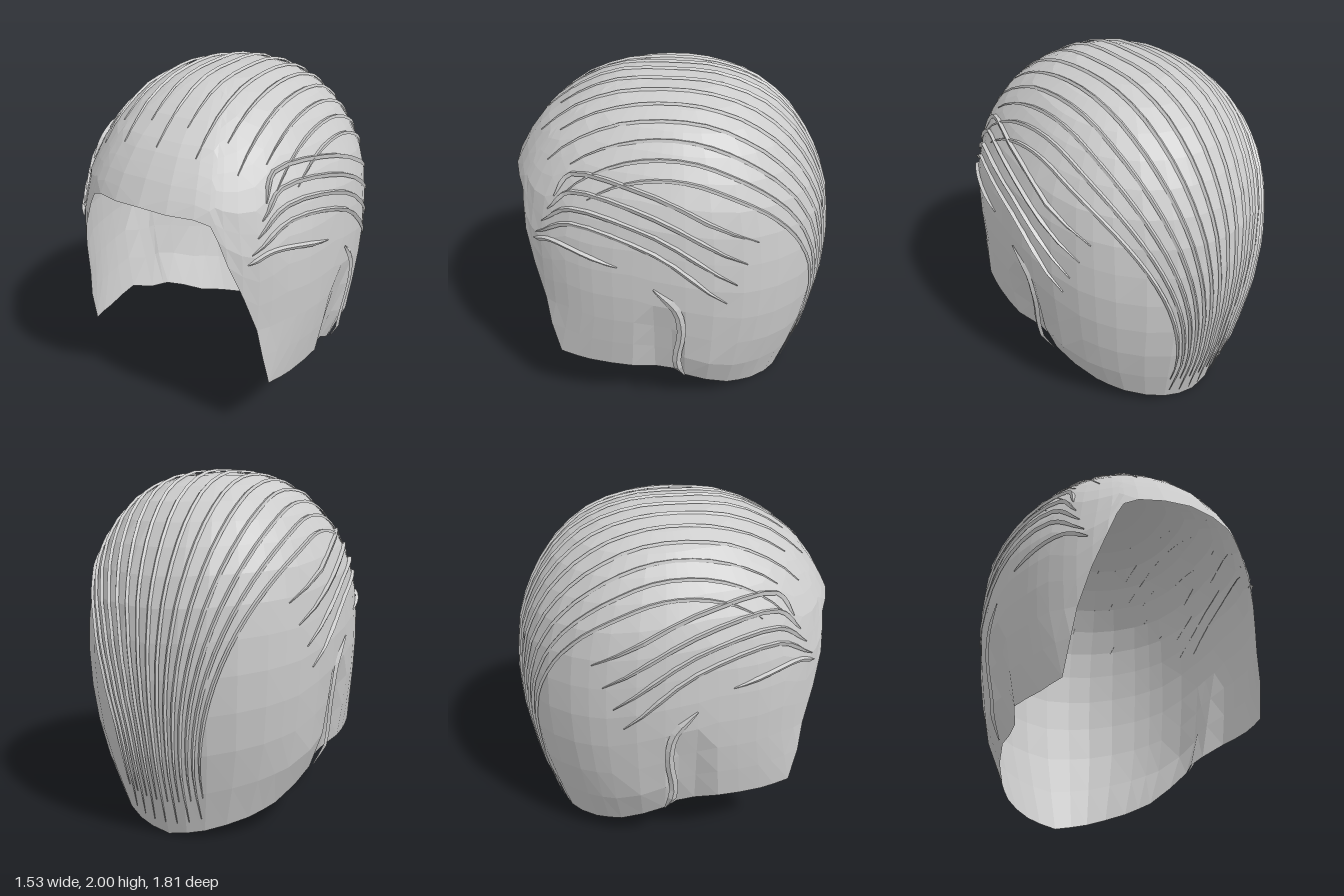
import * as THREE from 'three';
import { mergeGeometries } from 'three/addons/utils/BufferGeometryUtils.js';

const { smoothstep, degToRad } = THREE.MathUtils;

// Horizontal sections of the head of hair: y, half width, reach forward, reach back
const SECTIONS = [
  [0, 0.49, 1.1, 0.68], [0.1, 0.545, 1.1, 0.72], [0.3, 0.625, 1.09, 0.77], [0.43, 0.69, 1.08, 0.81],
  [0.8, 0.74, 0.94, 0.87], [1.05, 0.755, 0.93, 0.88], [1.3, 0.74, 0.93, 0.85], [1.46, 0.715, 0.92, 0.8],
  [1.6, 0.655, 0.84, 0.73], [1.73, 0.57, 0.74, 0.64], [1.85, 0.455, 0.59, 0.52], [1.93, 0.32, 0.44, 0.37],
  [1.97, 0.19, 0.32, 0.23], [1.985, 0.05, 0.2, 0.12],
];
// Hem height by angle from the front: brow, temple, sideburn, ear, nape
const HEM = [
  [0, 1.46], [22, 1.44], [28, 1.41], [30, 1.34], [33, 1.2], [46, 0.8], [59, 0.43], [70, 0.41], [83, 0.41],
  [88, 0.36], [97, 0.3], [118, 0.15], [133, 0.1], [157, 0.04], [180, 0],
];
const COLUMNS = [0, 11, 22, 28, 30, 33, 39, 46, 52, 59, 65, 70, 77, 83, 88, 92, 97, 107, 118, 125, 133, 145, 157, 168, 180];
const ROWS = 13;

function lookup(table, key, column) {
  if (key <= table[0][0]) return table[0][column];
  for (let i = 1; i < table.length; i++) {
    const a = table[i - 1], b = table[i];
    if (key <= b[0]) return a[column] + ((b[column] - a[column]) * (key - a[0])) / (b[0] - a[0]);
  }
  return table[table.length - 1][column];
}

// Squareness of a section: boxier around the face, round at the back
const power = (y, z) => (z >= 0 ? 2.5 - 0.3 * smoothstep(y, 1.2, 1.46) : 2.05);
const signedPow = (v, e) => Math.sign(v) * Math.abs(v) ** e;

function shellPoint(degrees, s) {
  if (s === 0) return [0, 1.985, 0.04];
  const hem = lookup(HEM, Math.abs(degrees), 1);
  const y = 1.985 - (1.985 - hem) * s ** 1.7;
  const t = degToRad(degrees), c = Math.cos(t), e = 2 / power(y, c);
  const z = signedPow(c, e) * lookup(SECTIONS, y, c >= 0 ? 2 : 3);
  let x = Math.abs(degrees) === 180 ? 0 : signedPow(Math.sin(t), e) * lookup(SECTIONS, y, 1);
  // hollow where the hair tucks behind the ear
  x *= 1 - 0.09 * Math.exp(-(((z - 0.02) / 0.09) ** 2)) * smoothstep(0.95 - y, 0, 0.35);
  return [x, y, z];
}

function makeShell() {
  const angles = [...COLUMNS.slice(1).reverse().map((a) => -a), ...COLUMNS];
  const positions = [], index = [];
  angles.forEach((a) => {
    for (let j = 0; j <= ROWS; j++) positions.push(...shellPoint(a, j / ROWS));
  });
  for (let i = 0; i < angles.length - 1; i++) {
    for (let j = 0; j < ROWS; j++) {
      const a = i * (ROWS + 1) + j, b = a + ROWS + 1;
      // diagonals are mirrored between the two halves
      if (j === 0) index.push(a, a + 1, b + 1);
      else if (angles[i] < 0) index.push(a, a + 1, b + 1, a, b + 1, b);
      else index.push(a, a + 1, b, b, a + 1, b + 1);
    }
  }
  return toGeometry(positions, index);
}

function toGeometry(positions, index) {
  const g = new THREE.BufferGeometry();
  g.setAttribute('position', new THREE.Float32BufferAttribute(positions, 3));
  g.setIndex(index);
  g.computeVertexNormals();
  return g;
}

// Point where a ray from inside the head leaves the hair surface
function castOut(origin, dir) {
  let near = 0, far = 1.6;
  for (let i = 0; i < 30; i++) {
    const r = (near + far) / 2, p = origin.clone().addScaledVector(dir, r), e = power(p.y, p.z);
    const w = lookup(SECTIONS, p.y, 1), d = lookup(SECTIONS, p.y, p.z >= 0 ? 2 : 3);
    const inside = p.y < 1.985 && Math.abs(p.x / w) ** e + Math.abs(p.z / d) ** e < 1;
    if (inside) near = r; else far = r;
  }
  return origin.clone().addScaledVector(dir, near);
}

// Tapered lock with a raised ridge, laid along points on the surface
function makeLock(points, width, height) {
  const positions = [], index = [], n = points.length - 1;
  const centre = new THREE.Vector3(0, 0.9, 0);
  points.forEach((p, i) => {
    const tangent = points[Math.min(i + 1, n)].clone().sub(points[Math.max(i - 1, 0)]).normalize();
    const up = p.clone().sub(centre).normalize();
    const side = tangent.cross(up).normalize();
    const taper = Math.min(1, 0.2 + (5 * Math.min(i, n - i)) / n);
    const add = (across, lift) =>
      positions.push(...p.clone().addScaledVector(side, across * taper).addScaledVector(up, lift).toArray());
    add(-width, 0.002);
    add(0, 0.004 + height * taper);
    add(width, 0.002);
    if (i < n) {
      const a = i * 3, b = a + 3;
      index.push(a, a + 1, b + 1, a, b + 1, b, a + 1, a + 2, b + 2, a + 1, b + 2, b + 1);
    }
  });
  return toGeometry(positions, index);
}

// Lock combed from the forehead over the crown, gathering at the nape
function crownLock(lateral, start, end) {
  const points = [], origin = new THREE.Vector3(0, 1, 0), steps = 26;
  for (let i = 0; i <= steps; i++) {
    const deg = start + ((end - start) * i) / steps;
    const gather = 1 - 0.72 * smoothstep(deg, 110, 235);
    const a = degToRad(lateral * gather), b = degToRad(deg);
    points.push(castOut(origin, new THREE.Vector3(Math.sin(a), Math.cos(a) * Math.sin(b), Math.cos(a) * Math.cos(b))));
  }
  return makeLock(points, 0.012, 0.01);
}

// Lock on one side of the head, given by [z, y] points
function sideLock(side, path, width, height) {
  const curve = new THREE.CatmullRomCurve3(path.map(([z, y]) => new THREE.Vector3(0, y, z)));
  const dir = new THREE.Vector3(side, 0, 0);
  return makeLock(curve.getPoints(12).map((p) => castOut(p, dir)), width, height);
}

export function createModel() {
  const group = new THREE.Group();
  const material = new THREE.MeshStandardMaterial({ color: 0xcccccc, flatShading: true, side: THREE.DoubleSide });
  const addPart = (name, geometry) => {
    const mesh = new THREE.Mesh(geometry, material);
    mesh.name = name;
    group.add(mesh);
  };

  addPart('hairShell', makeShell());

  // locks over the crown, staggered in length
  const crown = [];
  for (let k = -7; k <= 7; k++) {
    const odd = Math.abs(k) % 2;
    crown.push(crownLock(k * 6.2, odd ? 52 : 44, odd ? 226 : 232));
  }
  addPart('crownLocks', mergeGeometries(crown));

  for (const [name, side] of [['left', 1], ['right', -1]]) {
    // locks swept back from the temple
    const temple = [sideLock(side, [[0.74, 1.2], [0.62, 1.25], [0.25, 1.18]], 0.014, 0.014)];
    for (let k = 0; k < 4; k++) {
      temple.push(sideLock(side, [
        [0.72 - 0.04 * k, 1.25 + 0.08 * k], [0.5, 1.38 + 0.08 * k],
        [0.05, 1.28 + 0.1 * k], [-0.33 - 0.05 * k, 0.95 + 0.12 * k],
      ], 0.014, 0.016));
    }
    addPart(name + 'TempleLocks', mergeGeometries(temple));
    // fold behind the ear
    addPart(name + 'EarFold', sideLock(side, [[0.06, 1.06], [-0.06, 0.92], [-0.09, 0.75], [-0.06, 0.5], [-0.1, 0.32]], 0.025, 0.01));
  }
  return group;
}
